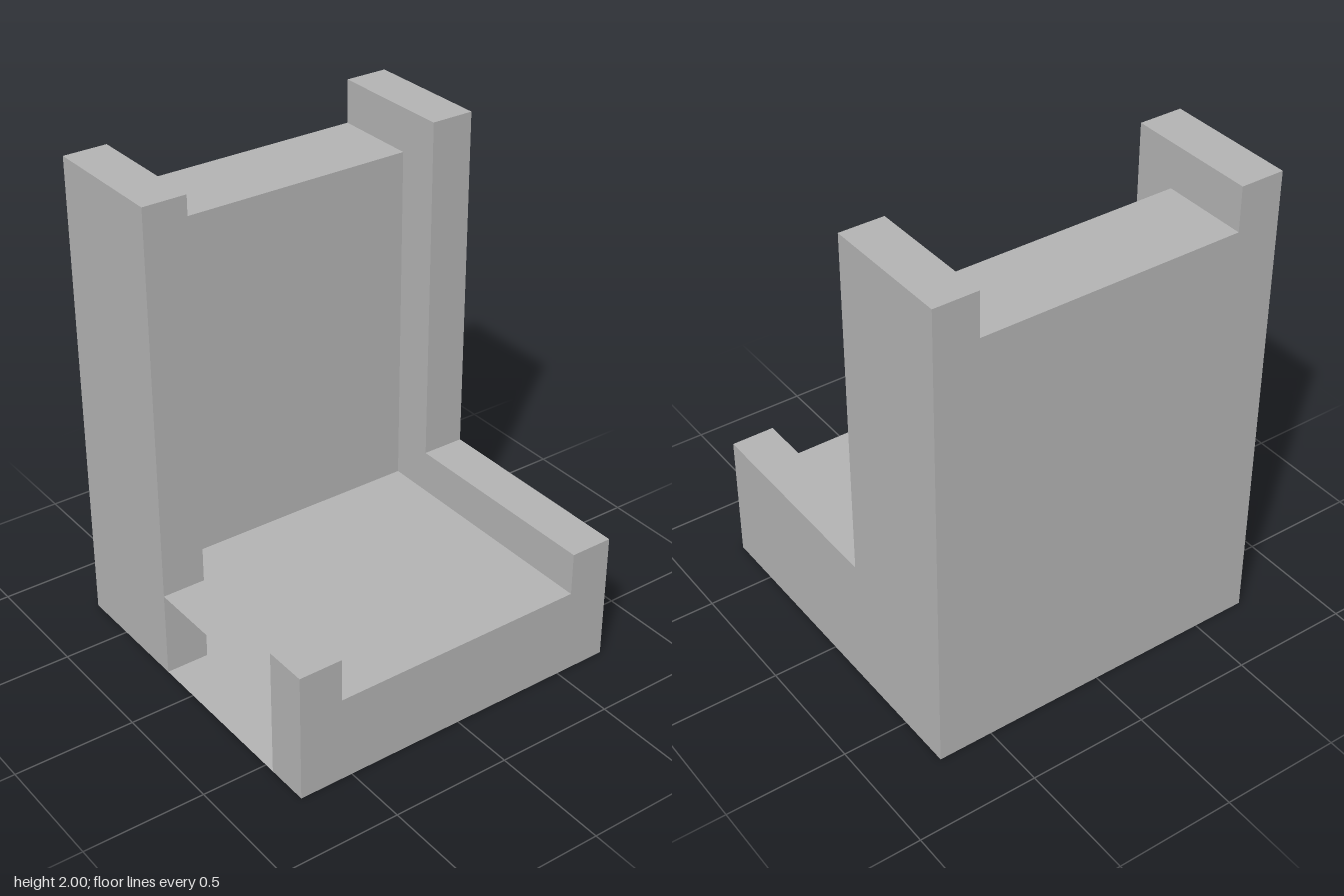
import * as THREE from 'three';

export function createModel() {
  const chair = new THREE.Group();
  chair.name = 'chair';
  const grey = new THREE.MeshStandardMaterial({ color: 0xb3b3b3, side: THREE.DoubleSide });
  grey.name = 'plain grey';

  const OUT = 0.727, IN = 0.545; // outer and inner faces of the frame
  const BACK_FRONT = -0.182;     // front of the tall posts
  const SEAT = 0.364;

  const add = (name, geometry, x, y, z) => {
    const mesh = new THREE.Mesh(geometry, grey);
    mesh.name = name;
    mesh.position.set(x, y, z);
    chair.add(mesh);
  };
  // Solid block given by its limits
  const block = (name, x0, x1, y0, y1, z0, z1) =>
    add(name, new THREE.BoxGeometry(x1 - x0, y1 - y0, z1 - z0),
      (x0 + x1) / 2, (y0 + y1) / 2, (z0 + z1) / 2);
  // Level sheet, facing up or down
  const sheet = (name, x0, x1, z0, z1, y, up) =>
    add(name, new THREE.PlaneGeometry(x1 - x0, z1 - z0).rotateX(up ? -Math.PI / 2 : Math.PI / 2),
      (x0 + x1) / 2, y, (z0 + z1) / 2);

  // Tall posts and the panel between them
  block('rightBackPost', -OUT, -IN, 0, 2, -OUT, BACK_FRONT);
  block('leftBackPost', IN, OUT, 0, 2, -OUT, BACK_FRONT);
  block('backPanel', -IN, IN, 0, 1.818, -OUT, -0.364);

  // Full arm on the left, only a short front post on the right
  block('leftArm', IN, OUT, 0, 0.545, BACK_FRONT, OUT);
  block('rightFrontPost', -OUT, -IN, 0, 0.545, IN, OUT);

  // Hollow seat, open on the right between the posts
  for (const [name, y, up] of [['seatTop', SEAT, true], ['seatFloor', 0, false]]) {
    sheet(name, -IN, IN, -0.364, OUT, y, up);
    sheet(name + 'Edge', -OUT, -IN, BACK_FRONT, IN, y, up);
  }
  add('seatFront', new THREE.PlaneGeometry(2 * IN, SEAT), 0, SEAT / 2, OUT);

  return chair;
}
